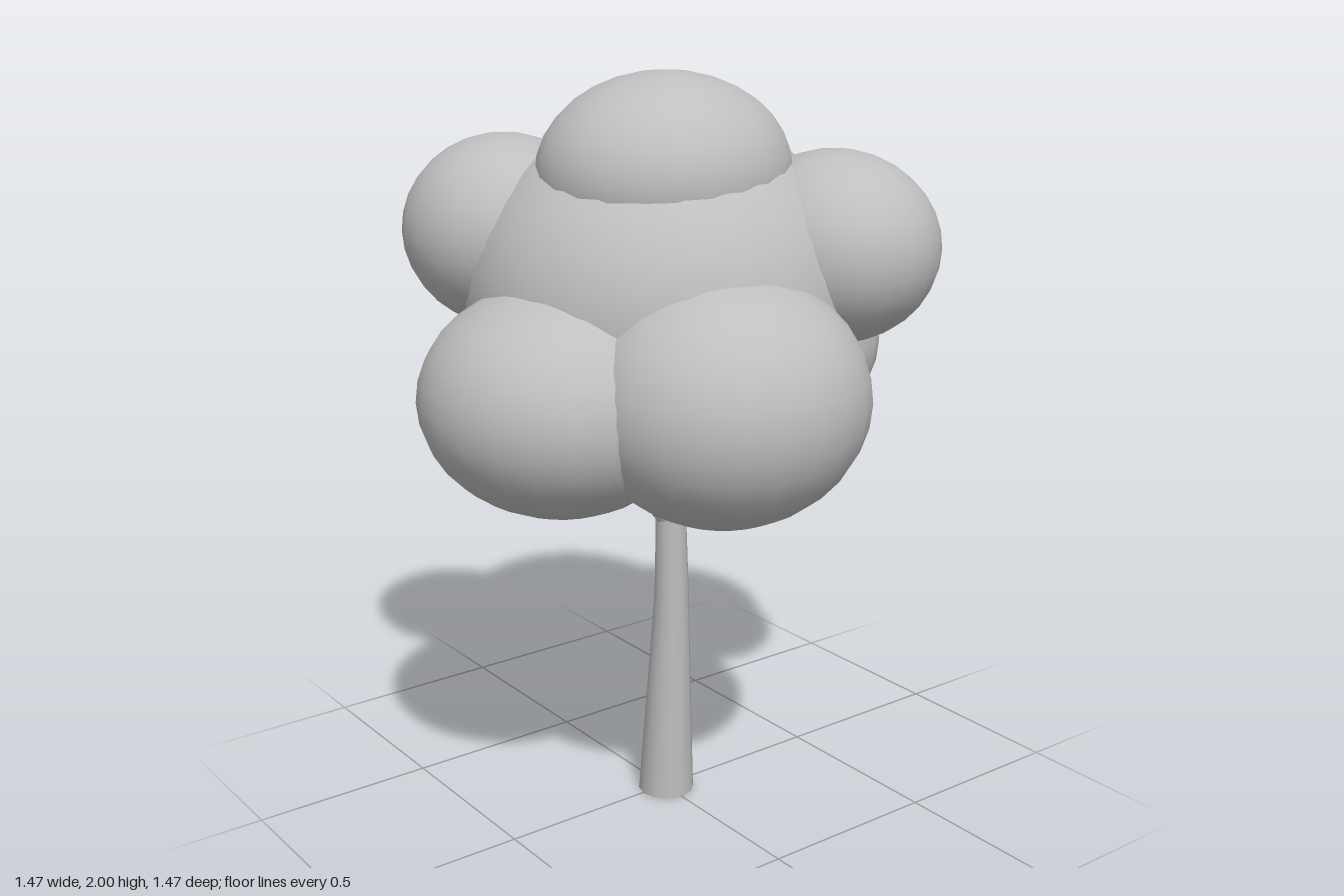
import * as THREE from 'three';

const grey = new THREE.MeshStandardMaterial({ color: 0xbfbfbf });
grey.name = 'plain grey';

// Leaf clumps: name, centre, radii
const CLUMPS = [
  ['crownCore', [0, 1.43, 0], [0.52, 0.46, 0.52]],
  ['topClump', [0.07, 1.75, 0.05], [0.31, 0.25, 0.33]],
  ['frontClump', [0.08, 1.22, 0.38], [0.365, 0.29, 0.35]],
  ['leftClump', [0.38, 1.24, 0.1], [0.35, 0.315, 0.365]],
  ['rightClump', [-0.365, 1.245, -0.2], [0.37, 0.315, 0.365]],
  ['backClump', [-0.1, 1.235, -0.395], [0.345, 0.29, 0.345]],
  ['upperFrontClump', [-0.3, 1.58, 0.29], [0.283, 0.25, 0.265]],
  ['upperBackClump', [0.31, 1.56, -0.305], [0.283, 0.245, 0.262]],
];

// Trunk cross-sections from top to bottom: x, y, z, radius
const TRUNK = [
  [0.03, 0.83, 0, 0.041],
  [0.035, 0.75, 0.002, 0.043],
  [0.042, 0.6, 0.006, 0.047],
  [0.005, 0, -0.003, 0.077],
];

function makeTrunk() {
  const sides = 12;
  const rows = TRUNK.length;
  const geo = new THREE.CylinderGeometry(1, 1, 1, sides, rows - 1);
  const p = geo.attributes.position;
  const wall = rows * (sides + 1);
  for (let i = 0; i < p.count; i++) {
    // wall vertices run row by row; cap vertices take the first or last section
    const row = i < wall ? Math.floor(i / (sides + 1)) : p.getY(i) > 0 ? 0 : rows - 1;
    const [x, y, z, r] = TRUNK[row];
    p.setXYZ(i, x + p.getX(i) * r, y, z + p.getZ(i) * r);
  }
  return geo;
}

// Tapered limb between two points
function makeBranch(from, to, r0, r1) {
  const a = new THREE.Vector3(...from);
  const b = new THREE.Vector3(...to);
  const mesh = new THREE.Mesh(new THREE.CylinderGeometry(r1, r0, a.distanceTo(b), 8), grey);
  mesh.position.copy(a).add(b).multiplyScalar(0.5);
  mesh.quaternion.setFromUnitVectors(new THREE.Vector3(0, 1, 0), b.sub(a).normalize());
  return mesh;
}

export function createModel() {
  const tree = new THREE.Group();
  tree.name = 'tree';

  const trunk = new THREE.Mesh(makeTrunk(), grey);
  trunk.name = 'trunk';
  tree.add(trunk);

  // Four branches forking into the crown
  const branches = new THREE.Group();
  branches.name = 'branches';
  const tips = [[0.27, 1.09, 0], [-0.22, 1.08, 0.01], [0.03, 1.09, 0.24], [0.02, 1.08, -0.27]];
  for (const tip of tips) {
    const branch = makeBranch([0.03, 0.81, 0], tip, 0.032, 0.02);
    branch.name = 'branch';
    branches.add(branch);
  }
  tree.add(branches);

  // Rounded leaf clumps
  const crown = new THREE.Group();
  crown.name = 'crown';
  const ball = new THREE.SphereGeometry(1, 24, 16);
  for (const [name, centre, radii] of CLUMPS) {
    const clump = new THREE.Mesh(ball, grey);
    clump.name = name;
    clump.position.set(...centre);
    clump.scale.set(...radii);
    crown.add(clump);
  }
  tree.add(crown);

  return tree;
}
